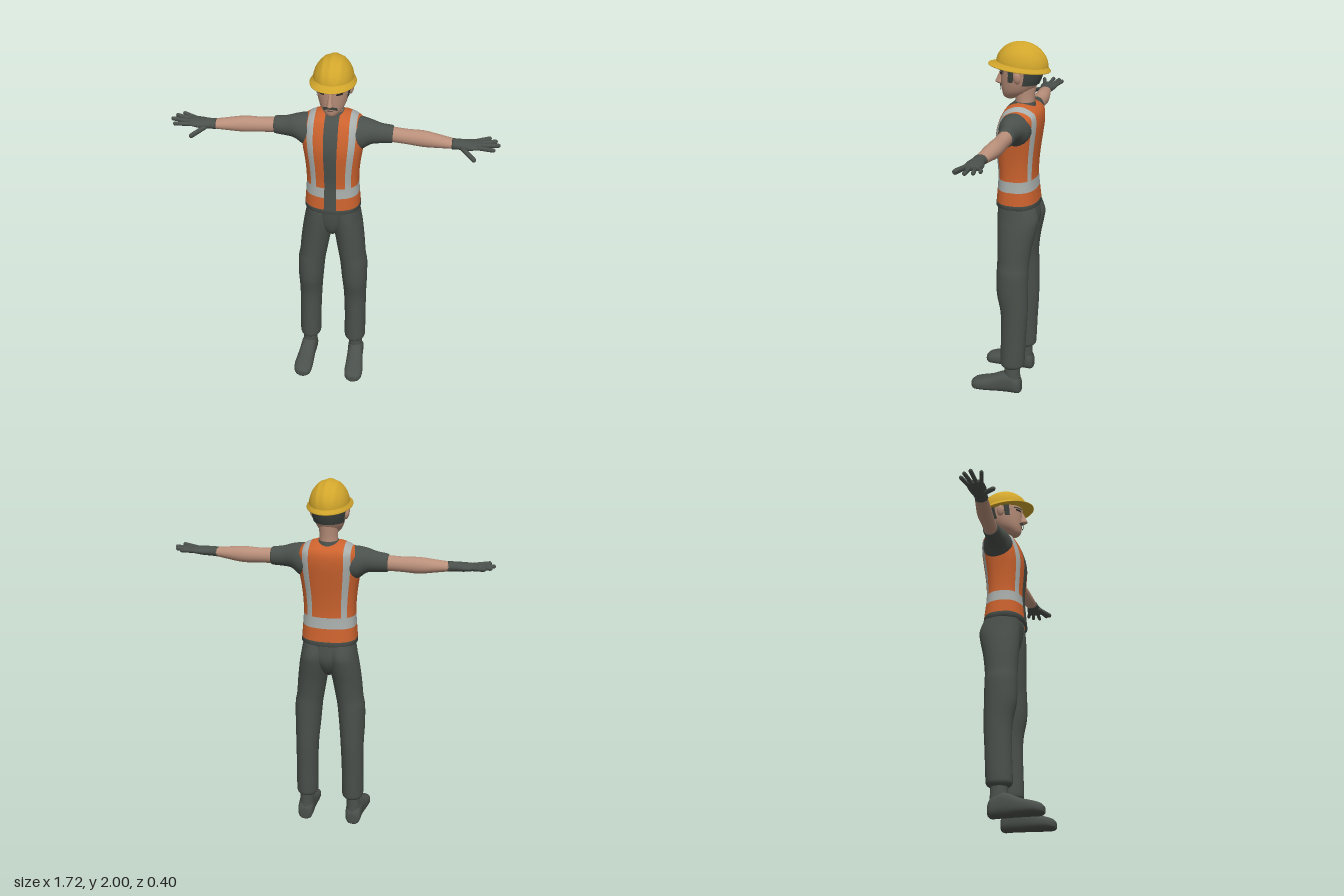
import * as THREE from 'three';
import { mergeVertices } from 'three/addons/utils/BufferGeometryUtils.js';

const material = (name, color, open) => {
  const m = new THREE.MeshStandardMaterial({ color });
  m.name = name;
  if (open) m.side = THREE.DoubleSide;
  return m;
};

// Smoothly subdivide a list of cross-section rows
function refine(rows, k = 4) {
  const out = [];
  for (let i = 0; i < rows.length - 1; i++) {
    const [p, a, b, q] = [rows[Math.max(i - 1, 0)], rows[i], rows[i + 1], rows[Math.min(i + 2, rows.length - 1)]];
    for (let s = 0; s < k; s++) {
      const t = s / k;
      out.push(a.map((v, c) => 0.5 * (2 * v + (b[c] - p[c]) * t + (2 * p[c] - 5 * v + 4 * b[c] - q[c]) * t * t
        + (3 * v - p[c] - 3 * b[c] + q[c]) * t * t * t)));
    }
  }
  out.push(rows[rows.length - 1]);
  return out;
}

// Linear lookup: first entry of each row is the key
function sample(rows, s) {
  let i = 0;
  while (i < rows.length - 2 && s > rows[i + 1][0]) i++;
  const [a, b] = [rows[i], rows[i + 1]];
  const t = THREE.MathUtils.clamp((s - a[0]) / (b[0] - a[0]), 0, 1);
  return a.map((v, c) => v + (b[c] - v) * t);
}

function build(points, index) {
  const g = new THREE.BufferGeometry();
  g.setAttribute('position', new THREE.Float32BufferAttribute(points, 3));
  g.setIndex(index);
  g.computeVertexNormals();
  return g;
}

const place = { x: (s, a, b) => [s, a, b], y: (s, a, b) => [b, s, a], z: (s, a, b) => [a, b, s] };
const power = (v, n) => Math.sign(v) * Math.abs(v) ** (2 / n);

// Closed loft; rows are [station, centre1, radius1, centre2, radius2] (axes in cyclic order)
function loft(rows, axis, { seg = 28, n = 2, k = 4 } = {}) {
  const r = refine(rows, k), pts = [], idx = [], put = place[axis];
  r.forEach(([s, c1, r1, c2, r2]) => {
    for (let i = 0; i < seg; i++) {
      const t = i / seg * Math.PI * 2;
      pts.push(...put(s, c1 + r1 * power(Math.cos(t), n), c2 + r2 * power(Math.sin(t), n)));
    }
  });
  const last = r.length - 1, base = r.length * seg;
  pts.push(...put(r[0][0], r[0][1], r[0][3]), ...put(r[last][0], r[last][1], r[last][3]));
  for (let i = 0; i < seg; i++) {
    const e = (i + 1) % seg;
    for (let j = 0; j < last; j++) {
      const a = j * seg + i, b = j * seg + e;
      idx.push(a, b, b + seg, a, b + seg, a + seg);
    }
    idx.push(base, e, i, base + 1, last * seg + i, last * seg + e);
  }
  return build(pts, idx);
}

function mirrored(geometry) {
  const g = geometry.clone().scale(-1, 1, 1), a = g.index.array;
  for (let i = 0; i < a.length; i += 3) [a[i], a[i + 1]] = [a[i + 1], a[i]];
  g.computeVertexNormals();
  return g;
}

const headRows = [[1.7, 0.012, 0.02, 0, 0.02], [1.712, 0.003, 0.045, 0, 0.036], [1.74, -0.02, 0.075, 0, 0.06],
  [1.78, -0.037, 0.096, 0, 0.076], [1.83, -0.046, 0.108, 0, 0.086], [1.88, -0.05, 0.112, 0, 0.09], [1.93, -0.05, 0.09, 0, 0.075]];

// Thin patch lying on the head surface; angle 0 faces forward
function headPatch(t0, t1, y0, y1, off = 0.004, drop = 0) {
  const rows = refine(headRows), pts = [], idx = [], w = 14, h = 6;
  for (let j = 0; j <= h; j++) for (let i = 0; i <= w; i++) {
    const t = t0 + (t1 - t0) * i / w, y = y0 + (y1 - y0) * j / h - drop * t * t;
    const [, cz, rz, , rx] = sample(rows, y);
    pts.push((rx + off) * Math.sin(t), y, cz + (rz + off) * Math.cos(t));
    if (i < w && j < h) {
      const a = j * (w + 1) + i, d = a + w + 1;
      idx.push(a, a + 1, d + 1, a, d + 1, d);
    }
  }
  return build(pts, idx);
}

// Vest and shirt body: columns run up the front, over the shoulder and down the back
function torsoGeometry() {
  // y, half width, front z, back z
  const shape = refine([[1.12, 0.152, 0.08, -0.155], [1.2, 0.146, 0.073, -0.145], [1.3, 0.14, 0.067, -0.137], [1.4, 0.146, 0.075, -0.143],
    [1.5, 0.16, 0.08, -0.156], [1.58, 0.168, 0.063, -0.165], [1.64, 0.167, 0.035, -0.158], [1.69, 0.165, 0, -0.12]]);
  const top = [[0, 1.685], [0.35, 1.69], [0.6, 1.678], [0.85, 1.655], [0.95, 1.63], [1, 1.6]];
  const half = [0.11, 0.22, 0.38, 0.55, 0.65, 0.76, 0.86, 0.93, 0.975, 1];
  const us = [...half.map(u => -u).reverse(), 0, ...half];
  const low = [1.117, 1.125, 1.148, 1.185, 1.22, 1.25, 1.28], steps = 20, n = low.length + steps;
  const pts = [], cells = [[], [], []], w = us.length, rows = 2 * n - 1;
  for (let j = 0; j < rows; j++) {
    const back = j >= n, k = back ? rows - 1 - j : j;
    us.forEach((u, i) => {
      const f = (k - low.length + 1) / steps, end = sample(top, Math.abs(u))[1];
      const y = k < low.length ? low[k] : 1.28 + (end - 1.28) * Math.sin(f * Math.PI / 2);
      const [, a, zf, zb] = sample(shape, y), mid = (zf + zb) / 2;
      const t = (y - 1.28) / (end - 1.28), cap = t > 0.9 ? Math.sqrt(Math.max(0, 1 - ((t - 0.9) / 0.1) ** 2)) : 1;
      const shrink = k === 0 ? 0.9 : 1;
      const round = Math.max(0, 1 - Math.abs(u) ** 2.4) ** (1 / 2.4);
      pts.push(u * a * shrink, y, mid + ((back ? zb : zf) - mid) * round * cap * shrink);
      if (i === w - 1 || j === rows - 1) return;
      const m = Math.abs(u + us[i + 1]) / 2, cell = j >= n - 1 ? rows - 2 - j : j;
      const front = j < n - 1;
      const shirt = cell < 2 || (front && m < 0.22);
      const tape = cell === 4 || cell === 5 || (cell > 5 && m > 0.55 && m < 0.76);
      const p = j * w + i, q = p + w;
      cells[shirt ? 0 : tape ? 2 : 1].push(p, p + 1, q + 1, p, q + 1, q);
    });
  }
  let g = new THREE.BufferGeometry();
  g.setAttribute('position', new THREE.Float32BufferAttribute(pts, 3));
  g.setIndex(cells.flat());
  let start = 0;
  cells.forEach((c, i) => { g.addGroup(start, c.length, i); start += c.length; });
  g = mergeVertices(g, 1e-5);
  g.computeVertexNormals();
  return g;
}

export function createModel() {
  const model = new THREE.Group();
  const cloth = material('dark cloth', 0x4a504b, true), orange = material('vest orange', 0xcb622e, true);
  const tape = material('reflective tape', 0xa9afac, true), skin = material('skin', 0xb98f7a);
  const yellow = material('helmet yellow', 0xd2a62c, true), hair = material('hair', 0x3f4541, true);
  const ink = material('face detail', 0x2b2827, true);
  const add = (name, g, m, parent = model) => {
    const mesh = new THREE.Mesh(g, m);
    mesh.name = name;
    parent.add(mesh);
    return mesh;
  };
  const pair = (name, g, m) => { add(name + 'Left', g, m); add(name + 'Right', mirrored(g), m); };

  // Torso
  add('vest', torsoGeometry(), [cloth, orange, tape]);
  add('collar', loft([[1.65, -0.06, 0.07, 0, 0.066], [1.675, -0.064, 0.06, 0, 0.058], [1.69, -0.067, 0.053, 0, 0.053]], 'y'), cloth);

  // Trousers
  add('pelvis', loft([[0.93, -0.045, 0.04, 0, 0.02], [0.97, -0.045, 0.08, 0, 0.055], [1.04, -0.05, 0.105, 0, 0.115], [1.13, -0.042, 0.105, 0, 0.138]], 'y'), cloth);
  pair('trouserLeg', loft([[0.16, -0.035, 0.045, 0.133, 0.042], [0.175, -0.036, 0.066, 0.132, 0.057], [0.21, -0.037, 0.07, 0.132, 0.061],
    [0.35, -0.042, 0.071, 0.131, 0.061], [0.5, -0.045, 0.076, 0.128, 0.064], [0.62, -0.034, 0.087, 0.125, 0.071], [0.74, -0.033, 0.088, 0.119, 0.076],
    [0.8, -0.034, 0.088, 0.109, 0.076], [0.9, -0.039, 0.096, 0.096, 0.08], [1.0, -0.048, 0.109, 0.081, 0.082],
    [1.06, -0.051, 0.113, 0.074, 0.078], [1.13, -0.042, 0.1, 0.066, 0.075]], 'y'), cloth);

  // Boots
  pair('ankle', loft([[0.06, -0.035, 0.052, 0.138, 0.044], [0.12, -0.036, 0.046, 0.137, 0.04], [0.19, -0.036, 0.044, 0.135, 0.036]], 'y'), cloth);
  pair('boot', loft([[-0.09, 0.14, 0.025, 0.04, 0.03], [-0.075, 0.14, 0.042, 0.05, 0.05], [-0.03, 0.14, 0.046, 0.065, 0.065], [0.02, 0.143, 0.046, 0.06, 0.06],
    [0.08, 0.147, 0.05, 0.046, 0.046], [0.14, 0.15, 0.053, 0.037, 0.037], [0.18, 0.15, 0.045, 0.03, 0.03], [0.199, 0.15, 0.022, 0.026, 0.018]], 'z', { n: 2.5 }), cloth);

  // Arms
  pair('sleeve', loft([[0.12, 1.572, 0.086, -0.052, 0.085], [0.155, 1.572, 0.085, -0.05, 0.08], [0.2, 1.584, 0.065, -0.046, 0.063],
    [0.25, 1.58, 0.054, -0.047, 0.048], [0.305, 1.578, 0.048, -0.05, 0.043], [0.312, 1.578, 0.038, -0.05, 0.034]], 'x'), cloth);
  pair('forearm', loft([[0.29, 1.578, 0.041, -0.05, 0.038], [0.38, 1.574, 0.04, -0.045, 0.038], [0.47, 1.572, 0.043, -0.04, 0.041],
    [0.55, 1.571, 0.034, -0.03, 0.038], [0.64, 1.57, 0.022, -0.018, 0.032]], 'x'), skin);

  // Gloves
  pair('glove', loft([[0.615, 1.57, 0.026, -0.019, 0.036], [0.65, 1.571, 0.025, -0.017, 0.035], [0.7, 1.572, 0.022, -0.017, 0.046],
    [0.745, 1.575, 0.016, -0.02, 0.047], [0.765, 1.577, 0.01, -0.02, 0.042]], 'x', { seg: 20 }), cloth);
  const fingers = [[0.735, -0.054, 0.807, -0.079], [0.74, -0.032, 0.838, -0.053], [0.74, -0.01, 0.853, -0.015], [0.735, 0.012, 0.829, 0.036]]
    .map(([x, z, tx, tz]) => [new THREE.Vector3(x, 1.575, z), new THREE.Vector3(tx, 1.583, tz), 0.0115]);
  fingers.push([new THREE.Vector3(0.665, 1.565, 0.005), new THREE.Vector3(0.735, 1.538, 0.075), 0.014]);
  fingers.forEach(([a, b, r], i) => {
    const d = b.clone().sub(a), len = d.length();
    const g = new THREE.CapsuleGeometry(r, len - r, 5, 10);
    g.scale(1, 1, 0.9);
    g.applyQuaternion(new THREE.Quaternion().setFromUnitVectors(new THREE.Vector3(0, 1, 0), d.normalize()));
    const c = a.add(b).multiplyScalar(0.5);
    pair(i < 4 ? 'finger' + (i + 1) : 'thumb', g.translate(c.x, c.y, c.z), cloth);
  });

  // Head
  add('neck', loft([[1.64, -0.068, 0.055, 0, 0.055], [1.7, -0.068, 0.05, 0, 0.048], [1.79, -0.07, 0.06, 0, 0.052]], 'y'), skin);
  add('head', loft(headRows, 'y', { seg: 40 }), skin);
  add('nose', loft([[1.773, 0.06, 0.015, 0, 0.01], [1.782, 0.062, 0.03, 0, 0.017], [1.8, 0.062, 0.024, 0, 0.013], [1.845, 0.057, 0.01, 0, 0.008]], 'y', { seg: 16 }), skin);
  pair('ear', new THREE.SphereGeometry(1, 14, 10).scale(0.012, 0.032, 0.02).rotateZ(-0.2).translate(0.092, 1.828, -0.048), skin);
  add('backHair', headPatch(Math.PI * 0.6, Math.PI * 1.4, 1.785, 1.885, 0.006), hair);
  pair('sideburn', headPatch(1.12, 1.4, 1.8, 1.885), hair);
  pair('eye', headPatch(0.34, 0.74, 1.835, 1.846), ink);
  pair('eyebrow', headPatch(0.28, 0.85, 1.853, 1.861, 0.005, 0.008), hair);
  add('moustache', headPatch(-0.5, 0.5, 1.758, 1.774, 0.008, 0.045), hair);
  add('mouth', headPatch(-0.2, 0.2, 1.744, 1.748, 0.003), ink);

  // Hard hat with raised ribs
  const hat = new THREE.Group();
  hat.name = 'hardHat';
  hat.position.set(0, 1.872, -0.05);
  hat.rotation.x = -0.1;
  model.add(hat);
  const dome = new THREE.SphereGeometry(1, 64, 24, 0, Math.PI * 2, 0, Math.PI / 2);
  const p = dome.attributes.position;
  for (let i = 0; i < p.count; i++) {
    const x = Math.abs(p.getX(i)), y = p.getY(i);
    const rib = Math.exp(-((x / 0.16) ** 4)) + 0.6 * Math.exp(-(((x - 0.45) / 0.08) ** 2));
    const f = 1 + 0.028 * rib * Math.min(1, y * 2.5);
    p.setXYZ(i, p.getX(i) * f * 0.104, y * f * 0.1245, p.getZ(i) * f * 0.137);
  }
  dome.computeVertexNormals();
  add('dome', dome, yellow, hat);
  add('brim', loft([[-0.01, 0.013, 0.162, 0, 0.116], [-0.006, 0.013, 0.165, 0, 0.118], [0.004, 0.004, 0.148, 0, 0.11], [0.018, 0, 0.133, 0, 0.101]], 'y', { seg: 48, k: 2 }), yellow, hat);
  return model;
}
